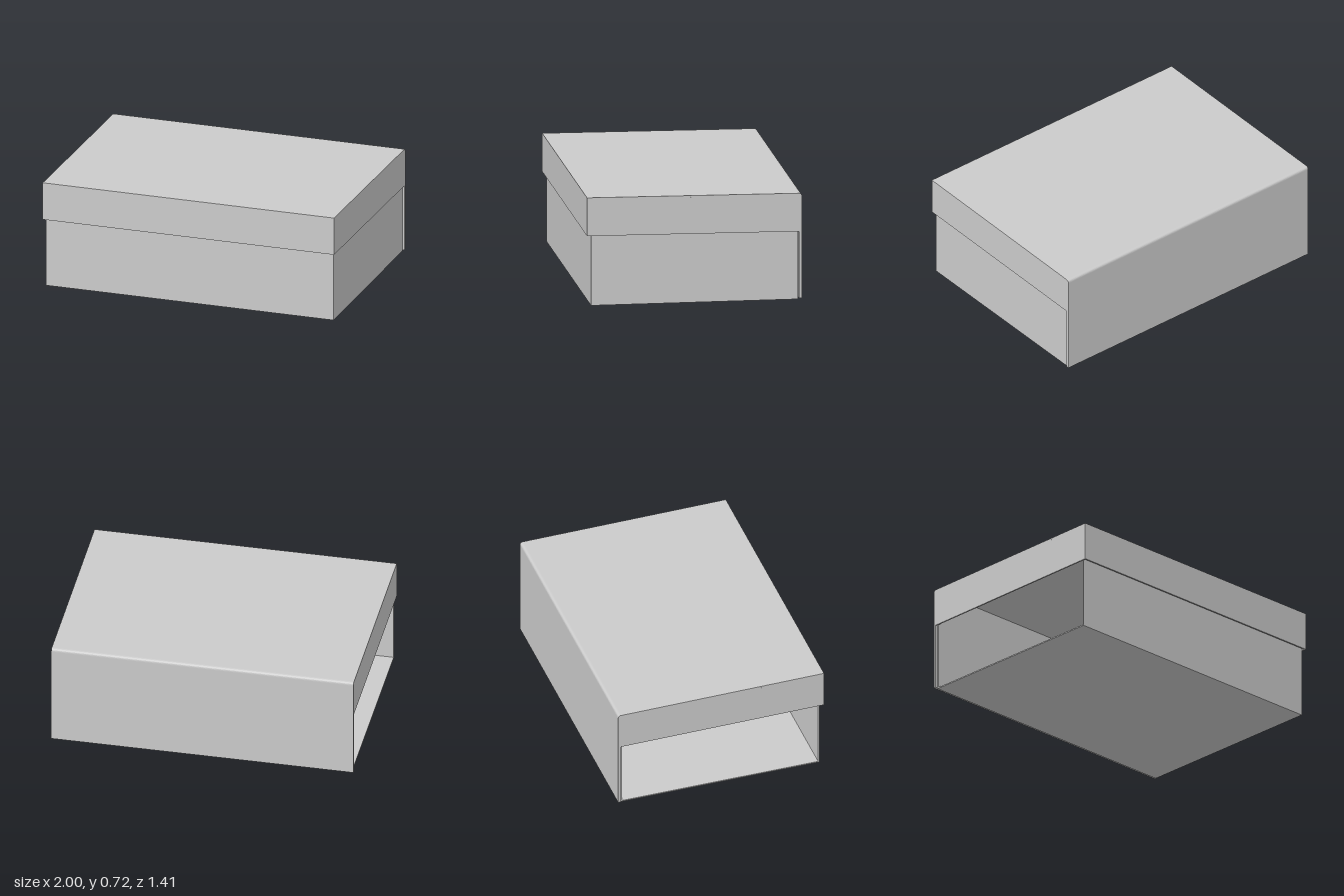
import * as THREE from 'three';

const material = new THREE.MeshStandardMaterial({ color: 0xcccccc });

// Extrudes a (z, y) outline along x, centred on the given x
function sidePanel(name, shape, width, x) {
  const geometry = new THREE.ExtrudeGeometry(shape, { depth: width, bevelEnabled: false, curveSegments: 6 });
  geometry.translate(0, 0, -width / 2).rotateY(-Math.PI / 2).translate(x, 0, 0);
  const mesh = new THREE.Mesh(geometry, material);
  mesh.name = name;
  return mesh;
}

function board(name, w, h, d, x, y, z) {
  const mesh = new THREE.Mesh(new THREE.BoxGeometry(w, h, d), material);
  mesh.name = name;
  mesh.position.set(x, y, z);
  return mesh;
}

function outline(points) {
  return new THREE.Shape(points.map(([z, y]) => new THREE.Vector2(z, y)));
}

export function createModel() {
  const model = new THREE.Group();
  model.name = 'hingedBox';

  // Tray: floor and three walls, open on one end
  const tray = new THREE.Group();
  tray.name = 'tray';
  const t = 0.008, w = 1.974, front = 0.676, back = -0.682, h = 0.69;
  const depth = front - back, midZ = (front + back) / 2;
  tray.add(
    board('floor', w, t, depth, 0, t / 2, midZ),
    board('frontWall', w, h - t, t, 0, (h + t) / 2, front - t / 2),
    board('backWall', w, h - t, t, 0, (h + t) / 2, back + t / 2),
    board('endWall', t, h - t, depth - 2 * t, w / 2 - t / 2, (h + t) / 2, midZ)
  );
  model.add(tray);

  // Lid: slightly sloping top that bends round into the full-height back
  const lid = new THREE.Group();
  lid.name = 'lid';
  const bend = new THREE.Shape();
  bend.moveTo(0.704, 0.718);
  bend.lineTo(-0.684, 0.705);
  bend.quadraticCurveTo(-0.704, 0.705, -0.704, 0.685);
  bend.lineTo(-0.704, 0.008);
  bend.lineTo(-0.686, 0.008);
  bend.lineTo(-0.686, 0.694);
  bend.lineTo(0.704, 0.707);
  lid.add(sidePanel('lidTopAndBack', bend, 2, 0));

  // Lid rim: front flap and two end flaps following the slope
  const rim = 0.01;
  lid.add(sidePanel('lidFront', outline([[0.704, 0.464], [0.704, 0.707], [0.694, 0.7069], [0.694, 0.4639]]), 2, 0));
  const flap = outline([[0.694, 0.4639], [0.694, 0.7069], [-0.686, 0.694], [-0.686, 0.452]]);
  for (const side of [-1, 1]) {
    lid.add(sidePanel(side > 0 ? 'lidLeftFlap' : 'lidRightFlap', flap, rim, side * (1 - rim / 2)));
  }
  model.add(lid);

  return model;
}
